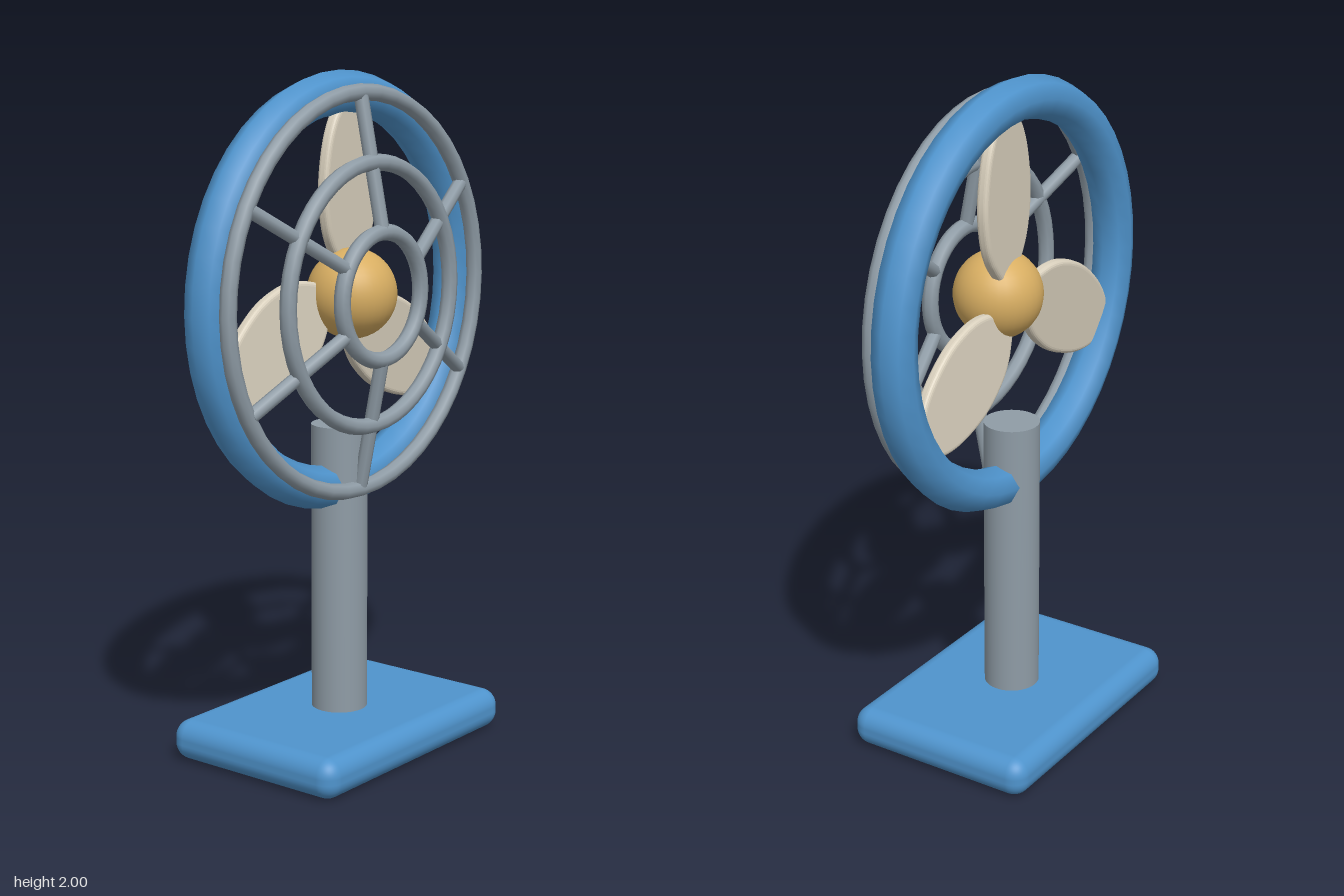
import * as THREE from 'three';
import { RoundedBoxGeometry } from 'three/addons/geometries/RoundedBoxGeometry.js';

const material = (name, color) => {
  const m = new THREE.MeshStandardMaterial({ color });
  m.name = name;
  return m;
};

export function createModel() {
  const blue = material('blue paint', 0x4f94cd);
  const grey = material('grey metal', 0x8f9ca6);
  const cream = material('cream blade', 0xd9d0bd);
  const gold = material('brass', 0xd8ae62);

  const model = new THREE.Group();
  model.name = 'deskFan';
  const add = (parent, name, geometry, mat, x = 0, y = 0, z = 0) => {
    const mesh = new THREE.Mesh(geometry, mat);
    mesh.name = name;
    mesh.position.set(x, y, z);
    parent.add(mesh);
    return mesh;
  };

  // Stand
  add(model, 'base', new RoundedBoxGeometry(0.85, 0.12, 0.606, 5, 0.052), blue, 0, 0.06, 0);
  add(model, 'pole', new THREE.CylinderGeometry(0.083, 0.083, 0.88, 32), grey, 0, 0.54, 0);

  // Fan head, centred on the hub axis
  const head = new THREE.Group();
  head.name = 'head';
  head.position.y = 1.367;
  model.add(head);
  add(head, 'housingRing', new THREE.TorusGeometry(0.57, 0.063, 8, 48), blue);
  add(head, 'hub', new THREE.SphereGeometry(0.131, 32, 24), gold, 0, 0, 0.046);

  // Domed front grille: three rings and six sloping spokes
  const grille = new THREE.Group();
  grille.name = 'grille';
  head.add(grille);
  const rings = [['outer', 0.573, 0.075], ['middle', 0.378, 0.121], ['inner', 0.183, 0.155]];
  for (const [name, radius, z] of rings) {
    add(grille, name + 'GrilleRing', new THREE.TorusGeometry(radius, 0.024, 8, 48), grey, 0, 0, z);
  }
  const inner = new THREE.Vector3(0, 0.19, 0.154);
  const outer = new THREE.Vector3(0, 0.562, 0.078);
  const slope = outer.clone().sub(inner);
  const spokeGeometry = new THREE.CylinderGeometry(0.021, 0.021, slope.length(), 8);
  spokeGeometry.rotateX(Math.atan2(slope.z, slope.y));
  spokeGeometry.translate(0, (inner.y + outer.y) / 2, (inner.z + outer.z) / 2);
  for (let i = 0; i < 6; i++) {
    add(grille, 'spoke', spokeGeometry, grey).rotation.z = (i * Math.PI) / 3;
  }

  // Three slightly pitched blades, thin at the edges and offset to one side
  const halfOutline = [[0.045, 0.07], [0.095, 0.13], [0.125, 0.2], [0.138, 0.3],
    [0.122, 0.41], [0.09, 0.49], [0.045, 0.54]].map(([x, y]) => new THREE.Vector2(x, y));
  const mirrored = halfOutline.map((p) => new THREE.Vector2(-p.x, p.y)).reverse();
  const shape = new THREE.Shape();
  shape.moveTo(halfOutline[0].x, halfOutline[0].y);
  shape.splineThru([...halfOutline.slice(1), new THREE.Vector2(0, 0.55), ...mirrored]);
  shape.closePath();
  const bladeGeometry = new THREE.ExtrudeGeometry(shape, {
    depth: 0.012, curveSegments: 32, bevelEnabled: true,
    bevelThickness: 0.012, bevelSize: 0.014, bevelOffset: -0.014, bevelSegments: 4,
  });
  bladeGeometry.translate(0, 0, -0.006);
  bladeGeometry.rotateY(0.1);
  bladeGeometry.translate(0.038, 0, 0);
  for (let i = 0; i < 3; i++) {
    add(head, 'blade', bladeGeometry, cream).rotation.z = (i * Math.PI * 2) / 3;
  }

  return model;
}
